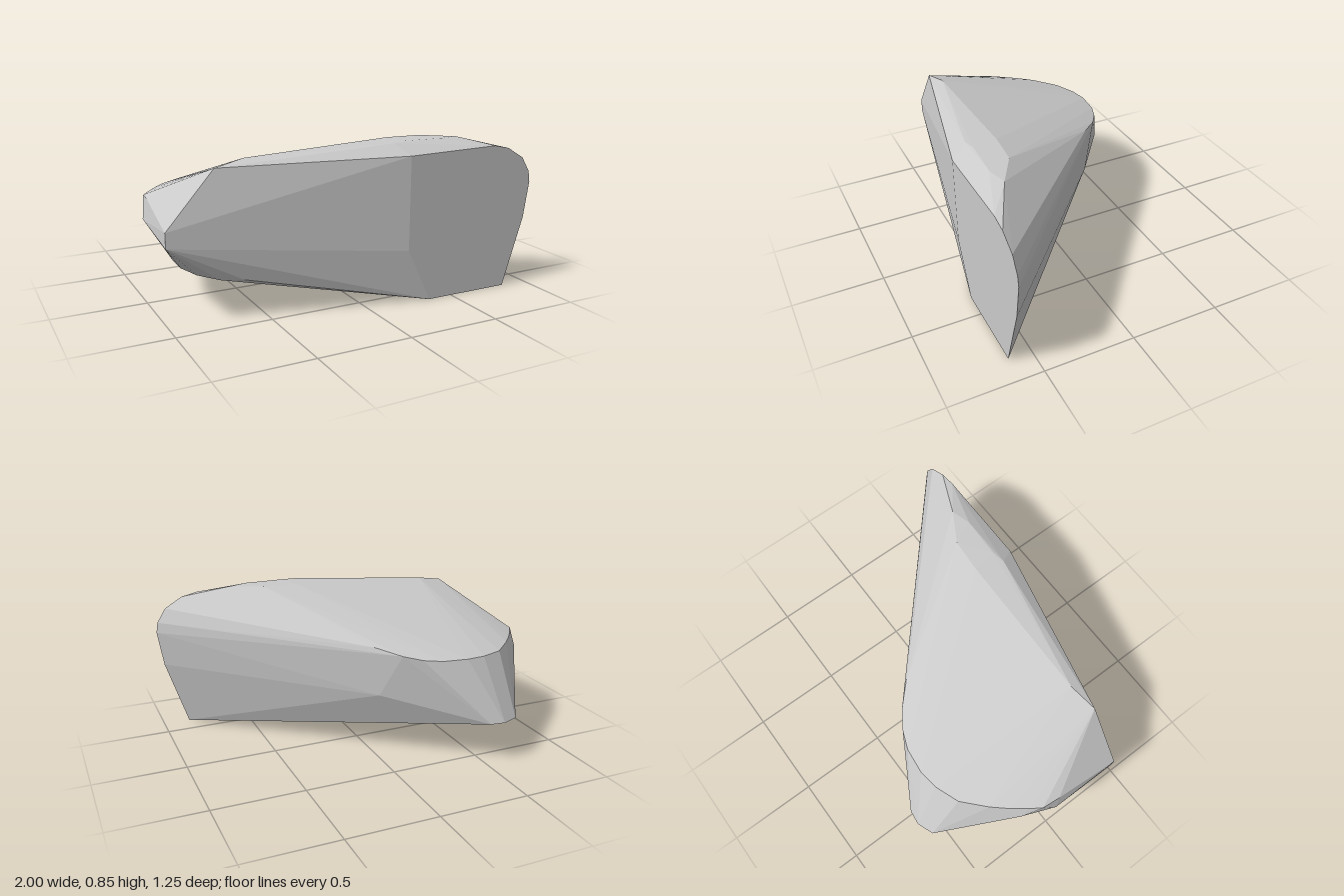
import * as THREE from 'three';
import { ConvexGeometry } from 'three/addons/geometries/ConvexGeometry.js';

export function createModel() {
  const group = new THREE.Group();
  group.name = 'rock';
  const stone = new THREE.MeshStandardMaterial({ color: 0xcacaca });
  stone.name = 'grey stone';

  const points = [];
  const add = (list) => list.forEach((p) => points.push(new THREE.Vector3(...p)));

  // upright front face with a rounded upper corner
  add([[0.36, 0], [0.85, 0], [0.97, 0.38], [1, 0.58], [0.99, 0.64], [0.94, 0.72],
    [0.84, 0.78], [0.75, 0.8], [0.22, 0.79], [0.22, 0.29]].map(([x, y]) => [x, y, 0.625]));

  // bevel between the front face and the sloping top
  add([[-0.75, 0.78, 0.41], [0.17, 0.845, 0.535], [-0.59, 0.81, 0.38], [0.22, 0.85, 0.385],
    [0.41, 0.85, 0.4], [0.24, 0.85, 0.52], [0.47, 0.848, 0.53], [0.58, 0.845, 0.5]]);

  // curved rear rim of the sloping top
  add([[-0.97, 0.568, -0.08], [-0.93, 0.568, -0.14], [-0.87, 0.568, -0.22], [-0.8, 0.568, -0.3],
    [-0.68, 0.562, -0.41], [-0.55, 0.565, -0.46], [-0.44, 0.568, -0.475], [-0.3, 0.57, -0.46],
    [-0.2, 0.576, -0.42], [-0.11, 0.592, -0.36], [0, 0.622, -0.25]]);

  // narrow side
  add([[-1, 0.41, 0.4], [-1, 0.49, 0.4], [-1, 0.46, 0], [-0.98, 0.57, 0.02], [-0.93, 0.5, -0.19]]);

  // underside with a rounded corner, and rear tip
  add([[0.36, 0, 0.58], [-0.62, 0.21, 0.44], [-0.73, 0.21, 0.39], [-0.81, 0.21, 0.27],
    [-0.85, 0.21, 0.13], [-0.85, 0.21, 0],
    [-0.69, 0.23, -0.59], [-0.6, 0.23, -0.625], [-0.52, 0.23, -0.615]]);

  // slight bulges on the long rear flank
  add([[-0.02, 0.35, -0.265], [-0.11, 0.555, -0.355]]);

  // the hull geometry has one normal per face, so it is drawn faceted
  const mesh = new THREE.Mesh(new ConvexGeometry(points), stone);
  mesh.name = 'boulder';
  group.add(mesh);
  return group;
}
